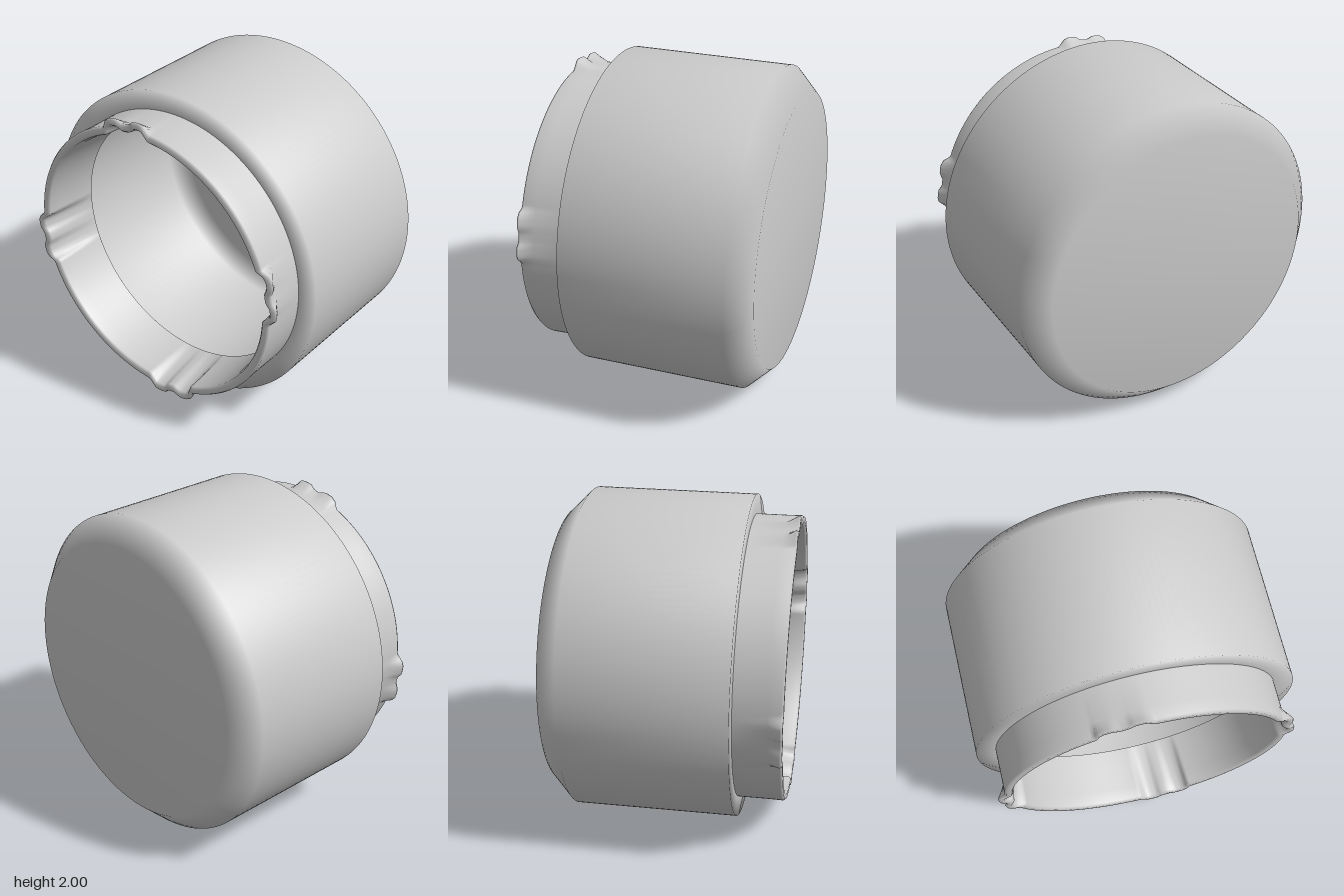
import * as THREE from 'three';
import { mergeVertices } from 'three/addons/utils/BufferGeometryUtils.js';

const material = new THREE.MeshStandardMaterial({ color: 0xcccccc, side: THREE.DoubleSide });

// Revolve a profile of [radius, z] around the z axis
function revolve(profile, segments) {
  const points = profile.map(([r, z]) => new THREE.Vector2(r, z));
  return new THREE.LatheGeometry(points, segments).rotateX(Math.PI / 2);
}

function addMesh(group, geometry, name) {
  const mesh = new THREE.Mesh(geometry, material);
  mesh.name = name;
  group.add(mesh);
}

// Height of a two-lobed tab, by degrees from its centre
const tabProfile = [[0, 0.024], [1.2, 0.024], [2.6, 0.034], [4, 0.05], [7, 0.053], [9, 0.044], [10.2, 0.018], [11.5, 0]];
function tabHeight(angle) {
  const turn = THREE.MathUtils.euclideanModulo(angle - 9.7 + 45, 90) - 45;
  const d = Math.abs(turn);
  for (let i = 1; i < tabProfile.length; i++) {
    const [a, h] = tabProfile[i - 1], [b, k] = tabProfile[i];
    if (d <= b) return THREE.MathUtils.lerp(h, k, THREE.MathUtils.smoothstep(d, a, b));
  }
  return 0;
}

// Neck wall whose rim swells outward into four tabs
function neckGeometry() {
  // radius, z, share of the tab height
  const section = [
    [0.88, 0.42, 0], [0.88, 0.62, 0], [0.882, 0.695, 0.95], [0.872, 0.71, 1],
    [0.843, 0.71, 1], [0.83, 0.695, 1], [0.826, 0.62, 0.7], [0.815, 0.45, 0.3], [0.81, 0.35, 0],
  ];
  const geometry = revolve(section, 360);
  const p = geometry.attributes.position;
  for (let i = 0; i < p.count; i++) {
    const share = section[i % section.length][2];
    const x = p.getX(i), y = p.getY(i), r = Math.hypot(x, y);
    const k = 1 + share * tabHeight(THREE.MathUtils.radToDeg(Math.atan2(y, x))) / r;
    p.setXY(i, x * k, y * k);
  }
  geometry.deleteAttribute('uv');
  geometry.deleteAttribute('normal');
  const welded = mergeVertices(geometry, 1e-5);
  welded.computeVertexNormals();
  return welded;
}

export function createModel() {
  const group = new THREE.Group();
  group.name = 'cap';

  // Outer shell with chamfered closed end and front shoulder
  const shell = [[0, -0.71], [0.86, -0.71], [1, -0.57], [1, 0.42], [0.88, 0.42]];
  addMesh(group, revolve(shell, 160), 'shell');

  // Neck with four locking tabs
  addMesh(group, neckGeometry(), 'neck');

  // Hollow inside, wider than the neck
  const cavity = [[0.81, 0.35], [0.93, 0.35], [0.93, -0.54], [0.83, -0.64], [0, -0.64]];
  addMesh(group, revolve(cavity, 160), 'cavity');

  group.children.forEach((mesh) => { mesh.position.y = 1; });
  return group;
}
